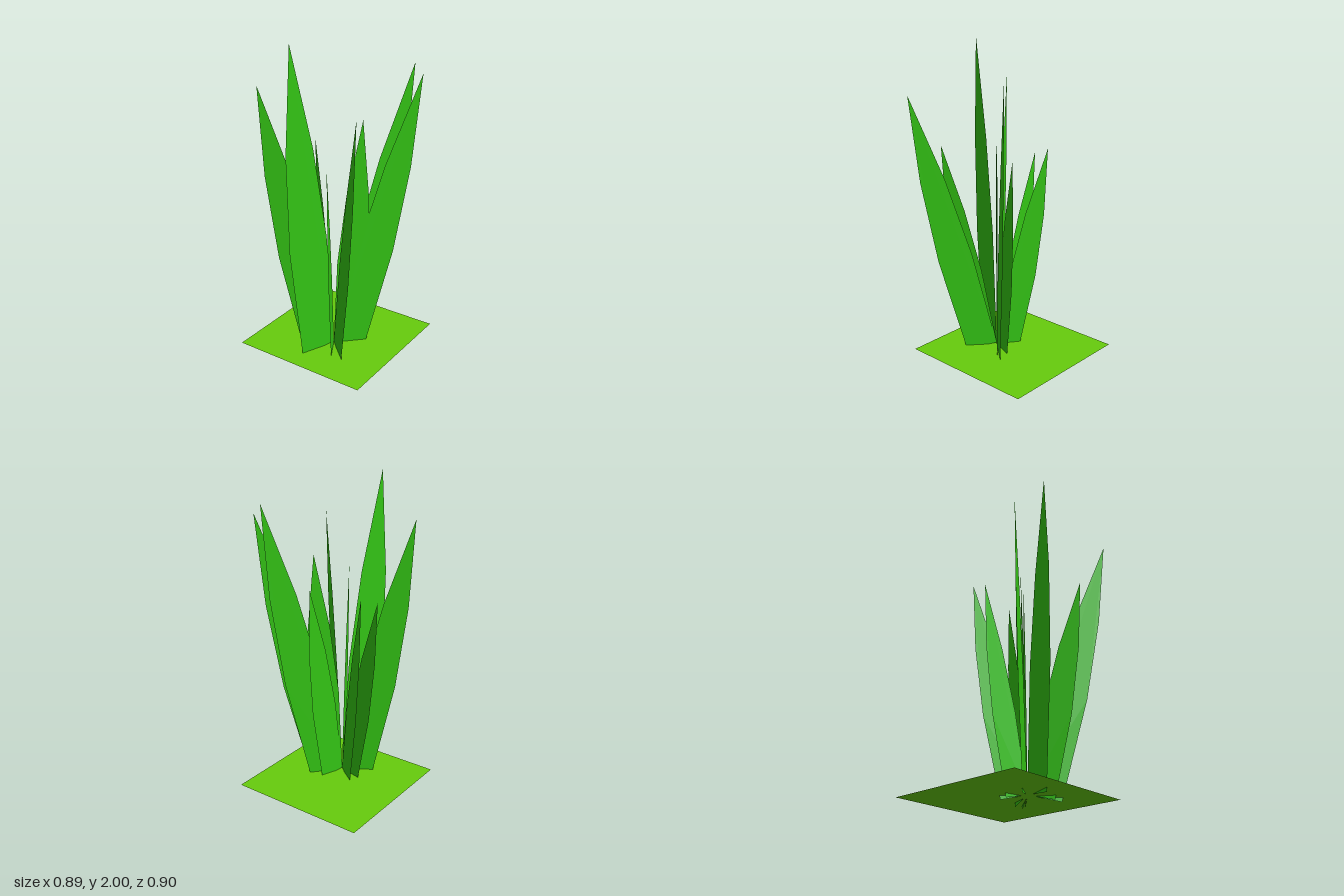
import * as THREE from 'three';

const CENTER = { x: 0.04, z: 0.105 };

// Blade tips: x, height, z
const TIPS = [
  [-0.325, 1.73, 0.345],
  [-0.068, 2.0, 0.365],
  [0.207, 1.35, 0.41],
  [0.425, 1.68, 0.45],
  [0.36, 1.84, -0.265],
  [0.415, 1.78, -0.265],
  [0.125, 1.32, -0.112],
  [0.165, 1.52, -0.02],
  [-0.23, 1.33, -0.085],
  [-0.26, 1.28, 0.045],
];

// Flat leaf outline in (distance from the centre, height), leaning to its tip
function bladeGeometry(reach, height) {
  const root = 0.058 * height;
  const edge = (t, halfWidth) =>
    new THREE.Vector2(root + (reach - root) * t + halfWidth * height, t * height);
  const shape = new THREE.Shape([
    new THREE.Vector2(0, 0.04),
    new THREE.Vector2(root * 2, 0.005),
    edge(0.37, 0.066),
    edge(0.68, 0.046),
    edge(1, 0),
    edge(0.69, -0.046),
    edge(0.4, -0.066),
  ]);
  return new THREE.ShapeGeometry(shape);
}

export function createModel() {
  const model = new THREE.Group();
  const bladeMaterial = new THREE.MeshStandardMaterial({
    color: 0x33c414, flatShading: true, side: THREE.DoubleSide,
  });
  const groundMaterial = new THREE.MeshStandardMaterial({
    color: 0x66cc0d, side: THREE.DoubleSide,
  });

  // Square patch of ground
  const ground = new THREE.Mesh(new THREE.PlaneGeometry(0.895, 0.895), groundMaterial);
  ground.name = 'groundPatch';
  ground.rotation.x = -Math.PI / 2;
  ground.position.y = 0.03;
  model.add(ground);

  // Blades fanning out from a shared root
  const tuft = new THREE.Group();
  tuft.name = 'grassTuft';
  TIPS.forEach(([x, height, z], i) => {
    const dx = x - CENTER.x;
    const dz = z - CENTER.z;
    const blade = new THREE.Mesh(bladeGeometry(Math.hypot(dx, dz), height), bladeMaterial);
    blade.name = `grassBlade${i + 1}`;
    blade.position.set(CENTER.x, 0, CENTER.z);
    blade.rotation.y = -Math.atan2(dz, dx);
    tuft.add(blade);
  });
  model.add(tuft);
  return model;
}
